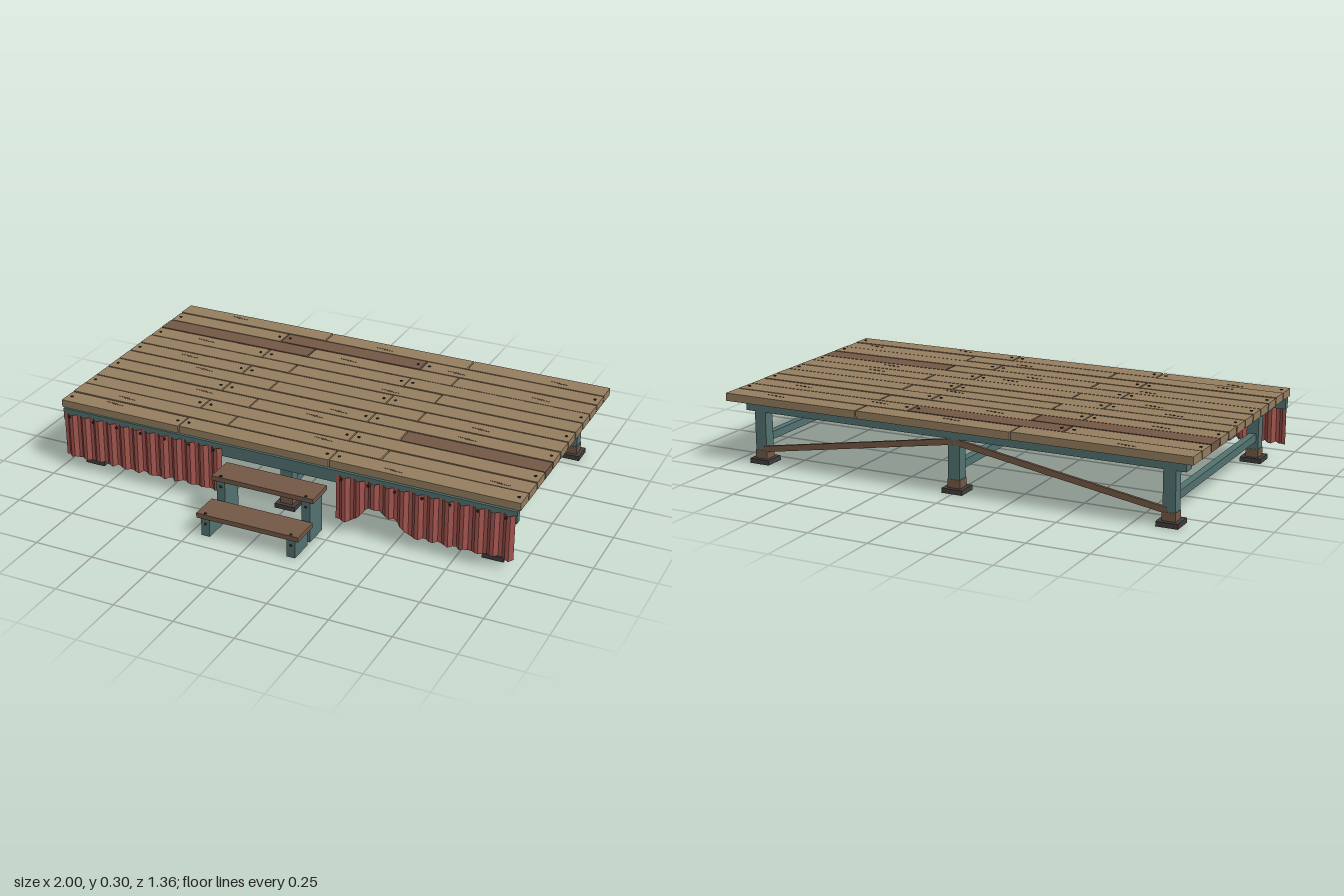
import * as THREE from 'three';

const mat = (name, color) => {
  const m = new THREE.MeshStandardMaterial({ color });
  m.name = name;
  return m;
};

export function createModel() {
  const root = new THREE.Group();
  root.name = 'woodenStage';

  const tan = mat('weatheredPlank', 0x967f60);
  const brown = mat('darkWood', 0x755946);
  const teal = mat('tealPaint', 0x537370);
  const dark = mat('darkPad', 0x403e3c);
  const iron = mat('nailIron', 0x2e2b29);
  const grain = mat('woodGrain', 0x66533e);
  const red = mat('redCloth', 0xa6564f);
  red.side = THREE.DoubleSide;

  let seed = 7;
  const rand = () => (seed = (seed * 16807) % 2147483647) / 2147483647;

  const group = (name) => {
    const g = new THREE.Group();
    g.name = name;
    root.add(g);
    return g;
  };
  // Box given by its lower and upper limits on each axis
  const box = (parent, name, m, x0, x1, y0, y1, z0, z1) => {
    const mesh = new THREE.Mesh(new THREE.BoxGeometry(x1 - x0, y1 - y0, z1 - z0), m);
    mesh.position.set((x0 + x1) / 2, (y0 + y1) / 2, (z0 + z1) / 2);
    mesh.name = name;
    parent.add(mesh);
    return mesh;
  };
  const nailGeometry = new THREE.CylinderGeometry(0.006, 0.006, 0.004, 6);
  const nail = (parent, x, y, z, facingFront = false) => {
    const mesh = new THREE.Mesh(nailGeometry, iron);
    mesh.position.set(x, y, z);
    if (facingFront) mesh.rotation.x = Math.PI / 2;
    mesh.name = 'nail';
    parent.add(mesh);
  };

  // Deck: twelve rows of three planks with staggered joints
  const deck = group('deck');
  const rows = 12, back = -0.68, pitch = 1.085 / rows, top = 0.297;
  const replaced = ['1,1', '2,0', '8,2'];
  for (let r = 0; r < rows; r++) {
    const cuts = r % 2 ? [-1, -0.45, 0.215, 1] : [-1, -0.275, 0.395, 1];
    const z0 = back + r * pitch;
    for (let i = 0; i < 3; i++) {
      const isNew = replaced.includes(`${r},${i}`);
      const x0 = cuts[i] + (i ? 0.003 : 0), x1 = cuts[i + 1] - (i < 2 ? 0.003 : 0);
      const y1 = top - rand() * 0.002;
      box(deck, 'plank', isNew ? brown : tan, x0, x1, y1 - 0.032, y1, z0 + 0.003, z0 + pitch - 0.003);
      if (r % 2) {
        for (const x of [x0 + 0.023, x1 - 0.023]) nail(deck, x, y1 + 0.001, z0 + pitch / 2);
      }
      // Short cracks in the older planks
      if (!isNew && rand() > 0.35) {
        const cx = x0 + 0.08 + rand() * (x1 - x0 - 0.2);
        const cz = z0 + 0.02 + rand() * 0.045;
        for (let k = 0; k < 2; k++) {
          const sx = cx + k * 0.03, sz = cz + k * 0.006;
          box(deck, 'crack', grain, sx, sx + 0.05, y1, y1 + 0.001, sz, sz + 0.002);
        }
      }
    }
  }

  // Frame: lengthwise beams and the front rail
  const frame = group('frame');
  for (const z of [0.315, -0.135, -0.585]) box(frame, 'beam', teal, -0.95, 0.95, 0.215, 0.265, z - 0.026, z + 0.026);
  box(frame, 'frontRail', teal, -0.99, 0.99, 0.21, 0.262, 0.381, 0.409);

  // Posts on pads, with bare wood at the foot, joined by low cross rails
  for (const x of [-0.885, 0, 0.885]) {
    for (const z of [0.315, -0.585]) {
      box(frame, 'post', teal, x - 0.025, x + 0.025, 0.05, 0.22, z - 0.025, z + 0.025);
      box(frame, 'postFoot', brown, x - 0.027, x + 0.027, 0.018, 0.054, z - 0.027, z + 0.027);
      box(frame, 'pad', dark, x - 0.044, x + 0.044, 0, 0.02, z - 0.044, z + 0.044);
    }
    box(frame, 'crossRail', teal, x - 0.015, x + 0.015, 0.086, 0.118, -0.562, 0.292);
  }

  // Rear braces rising from the outer posts to the middle one
  for (const side of [-1, 1]) {
    const dx = 0.87, dy = 0.145;
    const brace = box(frame, 'rearBrace', brown, -Math.hypot(dx, dy) / 2, Math.hypot(dx, dy) / 2, -0.012, 0.012, -0.006, 0.006);
    brace.position.set(side * 0.44, 0.132, -0.605);
    brace.rotation.z = -side * Math.atan2(dy, dx);
  }

  // Cloth skirt: pleated panels with a ragged hem, torn on one side
  const tear = [[0.25, 0.05], [0.31, 0.052], [0.4, 0.135], [0.43, 0.125], [0.5, 0.108], [0.56, 0.052], [1, 0.052]];
  const hem = (x) => {
    if (x < 0.25) return 0.052;
    const i = Math.max(1, tear.findIndex(([tx]) => tx >= x));
    const [ax, ay] = tear[i - 1], [bx, by] = tear[i];
    return ay + (by - ay) * (x - ax) / (bx - ax);
  };
  const skirt = group('skirt');
  const pleat = [0, 0, 1, 1];
  for (const side of [-1, 1]) {
    const cloth = new THREE.PlaneGeometry(0.735, 0.2, 48, 1);
    const p = cloth.attributes.position;
    for (let i = 0; i < p.count; i++) {
      const col = i % 49;
      const x = p.getX(i) + side * 0.6175;
      const y = i < 49 ? 0.246 : Math.max(0.048, hem(x) + (rand() - 0.4) * 0.01);
      p.setXYZ(i, x, y, 0.41 + 0.014 * pleat[col % 4]);
    }
    const flat = cloth.toNonIndexed();
    flat.computeVertexNormals();
    const panel = new THREE.Mesh(flat, red);
    panel.name = 'pleatedCloth';
    skirt.add(panel);
    for (let k = 0; k < 7; k++) nail(skirt, side * (0.28 + k * 0.112), 0.236, 0.425, true);
  }

  // Two front steps, each a tread on a pair of supports
  const steps = group('steps');
  for (const [z0, z1, y] of [[0.427, 0.55, 0.198], [0.555, 0.68, 0.098]]) {
    box(steps, 'tread', brown, -0.22, 0.22, y - 0.02, y, z0, z1);
    for (const x of [-0.185, 0.185]) {
      box(steps, 'support', teal, x - 0.018, x + 0.018, 0, y - 0.02, z0 + 0.008, z1 - 0.007);
      nail(steps, x, y + 0.001, z1 - 0.01);
      nail(steps, x, y - 0.045, z1 - 0.006, true);
    }
  }

  return root;
}
